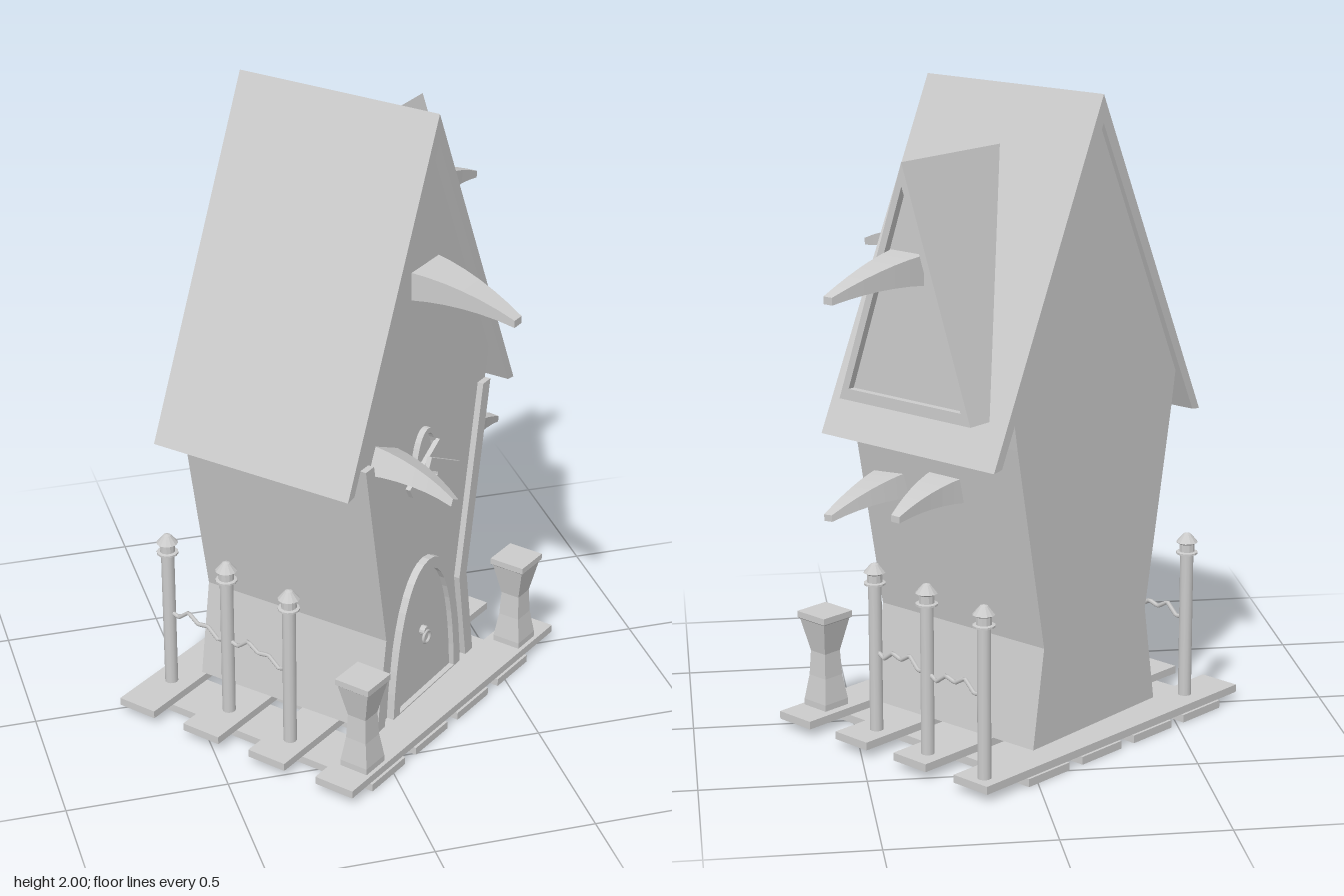
import * as THREE from 'three';

const mat = new THREE.MeshStandardMaterial({ color: 0xcccccc, flatShading: true });
const smooth = new THREE.MeshStandardMaterial({ color: 0xcccccc });

function add(parent, name, geo, x = 0, y = 0, z = 0, material = mat) {
  const m = new THREE.Mesh(geo, material);
  m.name = name;
  m.position.set(x, y, z);
  parent.add(m);
  return m;
}
const poly = (pts) => new THREE.Shape(pts.map(([x, y]) => new THREE.Vector2(x, y)));
const extrude = (shape, depth) =>
  new THREE.ExtrudeGeometry(shape, { depth, bevelEnabled: false, curveSegments: 10 });

// Arch outline, rounded at the top
function arch(h, bottom, top, Type = THREE.Shape) {
  const s = new Type();
  const k = bottom + (top - bottom) * 0.62;
  s.moveTo(-h, bottom);
  s.lineTo(h, bottom);
  s.bezierCurveTo(h * 0.92, k, h * 0.55, top, 0, top);
  s.bezierCurveTo(-h * 0.55, top, -h * 0.92, k, -h, bottom);
  return s;
}
function archFrame(h, bottom, top, t, depth) {
  const s = arch(h, bottom, top);
  s.holes.push(arch(h - t, bottom + 0.004, top - t, THREE.Path));
  return extrude(s, depth);
}

// Tapering, drooping spike that points along +z
function spike(parent, name, o) {
  const g = new THREE.BoxGeometry(o.width, o.thick, o.length, 1, 1, 6);
  const p = g.attributes.position;
  for (let i = 0; i < p.count; i++) {
    const t = p.getZ(i) / o.length + 0.5;
    p.setXYZ(i,
      p.getX(i) * (1 - 0.75 * t) + (o.side || 0) * t * t,
      p.getY(i) * (1 - 0.75 * t) - o.drop * t * t,
      t * o.length);
  }
  g.computeVertexNormals();
  const m = add(parent, name, g, ...o.at);
  m.rotation.set(0, o.turn || 0, o.roll || 0);
}

// Four-legged layout of planks and the beams below them
function buildDeck(deck) {
  for (let i = 0; i < 4; i++) {
    add(deck, 'deckPlank', new THREE.BoxGeometry(1.157, 0.025, 0.136), 0, 0.0375, -0.378 + i * 0.252);
    add(deck, 'deckBeam', new THREE.BoxGeometry(0.178, 0.025, 0.91), -0.395 + i * 0.238, 0.0125, 0);
  }

  // Square flared pedestals either side of the entrance
  const profile = [[0, 0.05], [0.048, 0.05], [0.048, 0.07], [0.036, 0.15], [0.032, 0.23],
    [0.054, 0.335], [0.06, 0.34], [0.06, 0.36], [0, 0.36]]
    .map(([r, y]) => new THREE.Vector2(r * Math.SQRT2, y));
  for (const x of [-0.436, 0.438]) {
    const lathe = new THREE.LatheGeometry(profile, 4).rotateY(Math.PI / 4);
    add(deck, 'pedestal', lathe, x, 0, 0.385);
  }

  // Fence posts with lamp heads, and slack rope between them
  const rows = [
    [[0.533, -0.392], [0.509, -0.135], [0.478, 0.117]],
    [[-0.402, -0.378], [-0.433, -0.125], [-0.459, 0.13]],
  ];
  const head = [[0, 0.51], [0.034, 0.518], [0.034, 0.524], [0.024, 0.526], [0.024, 0.55],
    [0.034, 0.556], [0.012, 0.582], [0, 0.586]].map(([r, y]) => new THREE.Vector2(r, y));
  for (const row of rows) {
    for (const [x, z] of row) {
      add(deck, 'fencePost', new THREE.CylinderGeometry(0.021, 0.021, 0.49, 12), x, 0.295, z, smooth);
      add(deck, 'postHead', new THREE.LatheGeometry(head, 12), x, 0, z);
    }
    for (let i = 0; i < 2; i++) {
      const [a, b] = [row[i], row[i + 1]];
      const heights = [0.31, 0.3, 0.335, 0.31, 0.32, 0.29, 0.31];
      const path = new THREE.CurvePath();
      const pts = heights.map((y, k) => new THREE.Vector3(
        a[0] + (b[0] - a[0]) * k / 6, y, a[1] + (b[1] - a[1]) * k / 6));
      for (let k = 0; k < 6; k++) path.add(new THREE.LineCurve3(pts[k], pts[k + 1]));
      add(deck, 'fenceRope', new THREE.TubeGeometry(path, 24, 0.007, 6), 0, 0, 0, smooth);
    }
  }
}

function buildHouse(house) {
  // Pinched walls with steep gables
  const half = [[0.295, 0.05], [0.245, 0.36], [0.368, 1.0], [0.385, 1.1]];
  const flip = (pts) => pts.map(([x, y]) => [-x, y]).reverse();
  add(house, 'walls', extrude(poly([...half, [0, 1.92], ...flip(half)]), 0.64), 0, 0, -0.34);

  // Corner boards that follow the pinched front wall
  const edge = half.slice(0, 3);
  const board = [...edge, ...edge.map(([x, y]) => [x - 0.045, y]).reverse()];
  add(house, 'cornerBoard', extrude(poly(board), 0.025), 0, 0, 0.295);
  add(house, 'cornerBoard', extrude(poly(flip(board)), 0.025), 0, 0, 0.295);

  // Main roof
  const roof = [[0.49, 0.96], [0, 2], [-0.49, 0.96], [-0.455, 0.965], [0, 1.915], [0.455, 0.965]];
  add(house, 'roof', extrude(poly(roof), 0.69), 0, 0, -0.355);

  // Dormer on the left side of the roof, with a recessed face
  const dormer = new THREE.Group();
  dormer.name = 'dormer';
  dormer.position.z = -0.025;
  dormer.rotation.y = Math.PI / 2;
  house.add(dormer);
  const tri = (w, b, t) => [[-w, b], [w, b], [0, t]];
  const frame = poly(tri(0.26, 1.09, 1.83));
  frame.holes.push(new THREE.Path(tri(0.222, 1.125, 1.76).map(([x, y]) => new THREE.Vector2(x, y))));
  add(dormer, 'dormerBody', extrude(poly(tri(0.26, 1.09, 1.83)), 0.42), 0, 0, 0.07);
  add(dormer, 'dormerFrame', extrude(frame, 0.022), 0, 0, 0.49);

  // Arched door with ring handle
  add(house, 'doorFrame', archFrame(0.205, 0.052, 0.53, 0.038, 0.03), 0, 0, 0.295);
  add(house, 'door', extrude(arch(0.168, 0.056, 0.493), 0.012), 0, 0, 0.295);
  const plate = add(house, 'handlePlate', new THREE.CylinderGeometry(0.016, 0.016, 0.02, 12), -0.01, 0.275, 0.315);
  plate.rotation.x = Math.PI / 2;
  add(house, 'handleRing', new THREE.TorusGeometry(0.02, 0.005, 6, 16), -0.01, 0.255, 0.325, smooth);

  // Small arched window, boarded up
  add(house, 'windowFrame', archFrame(0.078, 0.8, 0.99, 0.017, 0.025), -0.01, 0, 0.295);
  add(house, 'windowPane', extrude(arch(0.06, 0.805, 0.972), 0.008), -0.01, 0, 0.295);
  const boards = [[-0.04, 0.87, 0.325, 0.52], [0.045, 0.845, 0.34, -0.48]];
  for (const [x, y, z, a] of boards) {
    add(house, 'windowBoard', new THREE.BoxGeometry(0.2, 0.04, 0.016), x, y, z).rotation.z = a;
  }

  // Spikes breaking out of the walls and dormer
  const q = Math.PI / 2;
  spike(house, 'gableSpike', { width: 0.16, thick: 0.09, length: 0.34, drop: 0.05, side: -0.03, at: [-0.01, 1.485, 0.29] });
  spike(house, 'frontSpike', { width: 0.14, thick: 0.09, length: 0.3, drop: 0.05, side: -0.06, roll: -0.45, at: [-0.24, 0.975, 0.29] });
  spike(house, 'dormerSpike', { width: 0.13, thick: 0.09, length: 0.31, drop: 0.05, side: -0.02, turn: q, at: [0.49, 1.52, -0.025] });
  spike(house, 'sideSpike', { width: 0.13, thick: 0.08, length: 0.27, drop: 0.05, side: -0.02, turn: q, roll: 0.1, at: [0.32, 0.79, 0.2] });
  spike(house, 'sideSpike', { width: 0.13, thick: 0.08, length: 0.26, drop: 0.04, side: 0.02, turn: q, at: [0.32, 0.825, -0.03] });
}

export function createModel() {
  const model = new THREE.Group();
  model.name = 'crookedHouse';
  const deck = new THREE.Group();
  deck.name = 'deck';
  deck.rotation.y = 0.681;
  buildDeck(deck);
  const house = new THREE.Group();
  house.name = 'house';
  house.rotation.y = 0.726;
  buildHouse(house);
  model.add(deck, house);
  return model;
}
